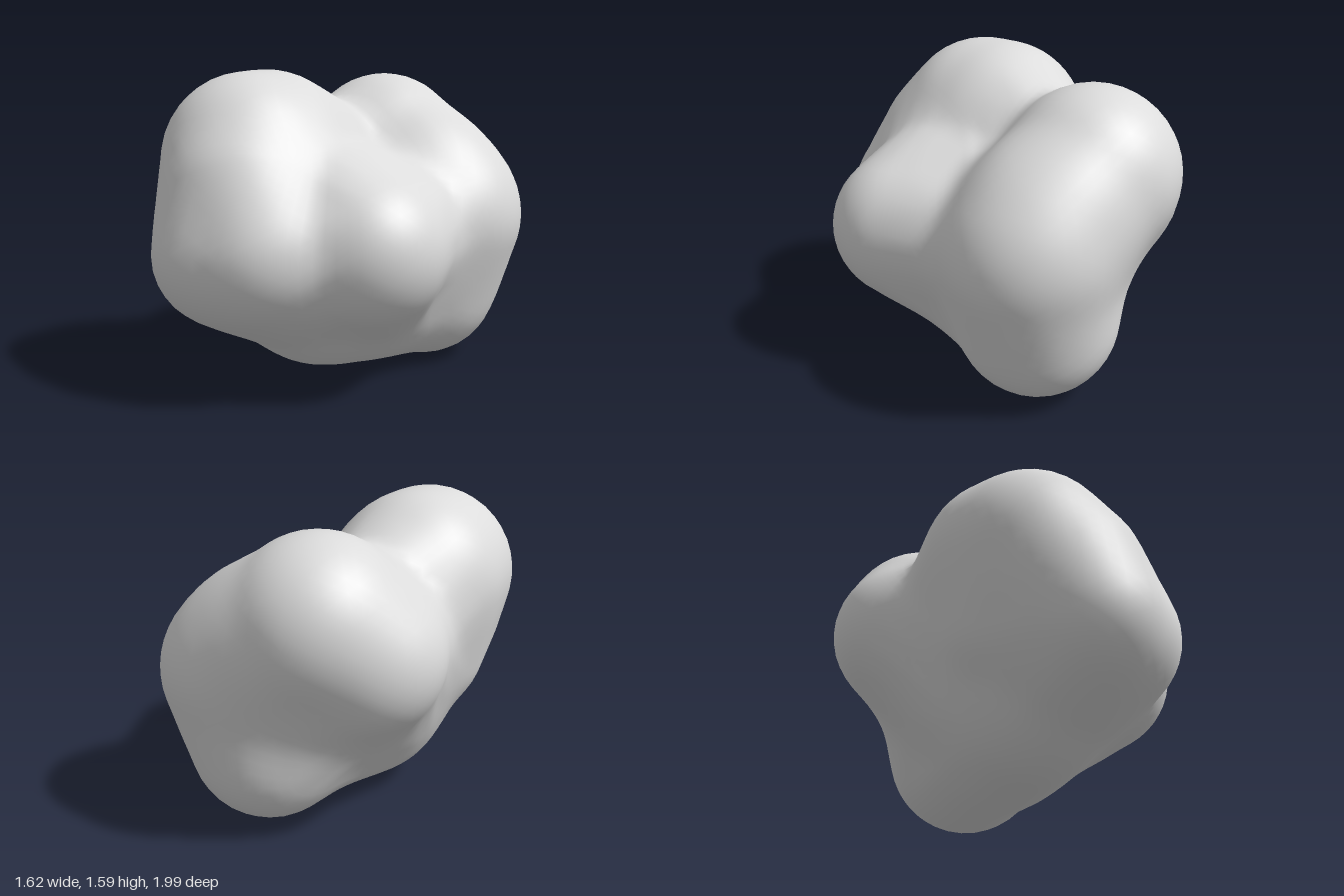
import * as THREE from 'three';
import { mergeVertices } from 'three/addons/utils/BufferGeometryUtils.js';

// Each mass of the rock is a skin stretched tightly over a few balls: x, y, z, radius
const CROWN = [
  [-0.365, 1.14, 0.33, 0.45],  // top, front
  [-0.34, 1.14, 0.20, 0.455],  // top, back
  [-0.30, 1.00, 0.48, 0.42],   // brow
  [-0.32, 0.71, 0.635, 0.36],  // nose, outer
  [-0.11, 0.72, 0.63, 0.35],   // nose, inner
  [-0.28, 0.78, 0.20, 0.43],   // sloping flank
  [-0.22, 1.12, -0.09, 0.33],  // saddle
  [-0.29, 0.96, -0.13, 0.33],  // saddle side
  [-0.10, 0.46, 0.10, 0.37],   // belly
];
const SHOULDER = [
  [0.325, 0.74, 0.34, 0.39],
  [0.29, 0.76, -0.08, 0.35],
  [-0.15, 0.98, 0.25, 0.38],
  [-0.15, 0.70, 0.50, 0.36],
  [0.12, 0.44, -0.05, 0.35],
];
const REAR_CROWN = [
  [-0.03, 1.11, -0.555, 0.443],
  [-0.25, 0.95, -0.50, 0.39],
  [0.27, 0.92, -0.47, 0.41],
  [-0.10, 0.46, 0.10, 0.33],
];
const REAR_SHOULDER = [
  [0.39, 0.79, -0.455, 0.42],
  [0.25, 0.92, -0.46, 0.41],
  [0.00, 0.76, -0.40, 0.38],
  [0.27, 0.42, -0.44, 0.415],
  [-0.10, 0.46, 0.10, 0.34],
];
const MASSES = [CROWN, SHOULDER, REAR_CROWN, REAR_SHOULDER];
const CENTRE = new THREE.Vector3(0, 0.8, 0);
const BLEND = 0.18;

// Larger of two values, rounded off where they are close
function smoothMax(a, b) {
  const h = Math.max(BLEND - Math.abs(a - b), 0);
  return Math.max(a, b) + (h * h) / (4 * BLEND);
}

// How far a mass reaches from the centre along each given direction
function supports(balls, directions) {
  return directions.map((n) => Math.max(...balls.map(([x, y, z, r]) =>
    n.x * (x - CENTRE.x) + n.y * (y - CENTRE.y) + n.z * (z - CENTRE.z) + r)));
}

// Distance along a ray to the skin of a mass, bounded by its tangent planes
function skinDistance(ray, directions, support) {
  let nearest = Infinity;
  for (let i = 0; i < directions.length; i++) {
    const facing = ray.dot(directions[i]);
    if (facing > 0.01) nearest = Math.min(nearest, support[i] / facing);
  }
  return nearest;
}

// Sphere whose vertices are moved out to the blended skins
function boulderGeometry() {
  let geometry = new THREE.IcosahedronGeometry(1, 16);
  geometry.deleteAttribute('uv');
  geometry.deleteAttribute('normal');
  geometry = mergeVertices(geometry, 1e-4);
  const position = geometry.attributes.position;
  const directions = [];
  for (let i = 0; i < position.count; i++) {
    directions.push(new THREE.Vector3().fromBufferAttribute(position, i).normalize());
  }
  const massSupports = MASSES.map((balls) => supports(balls, directions));
  directions.forEach((ray, i) => {
    const radius = massSupports
      .map((support) => skinDistance(ray, directions, support))
      .reduce(smoothMax);
    const p = CENTRE.clone().addScaledVector(ray, radius);
    position.setXYZ(i, p.x, p.y, p.z);
  });
  geometry.computeVertexNormals();
  return geometry;
}

export function createModel() {
  const group = new THREE.Group();
  group.name = 'rock';
  const stone = new THREE.MeshStandardMaterial({ color: 0xdcdcdc });
  stone.name = 'paleStone';
  const boulder = new THREE.Mesh(boulderGeometry(), stone);
  boulder.name = 'boulder';
  group.add(boulder);
  return group;
}
